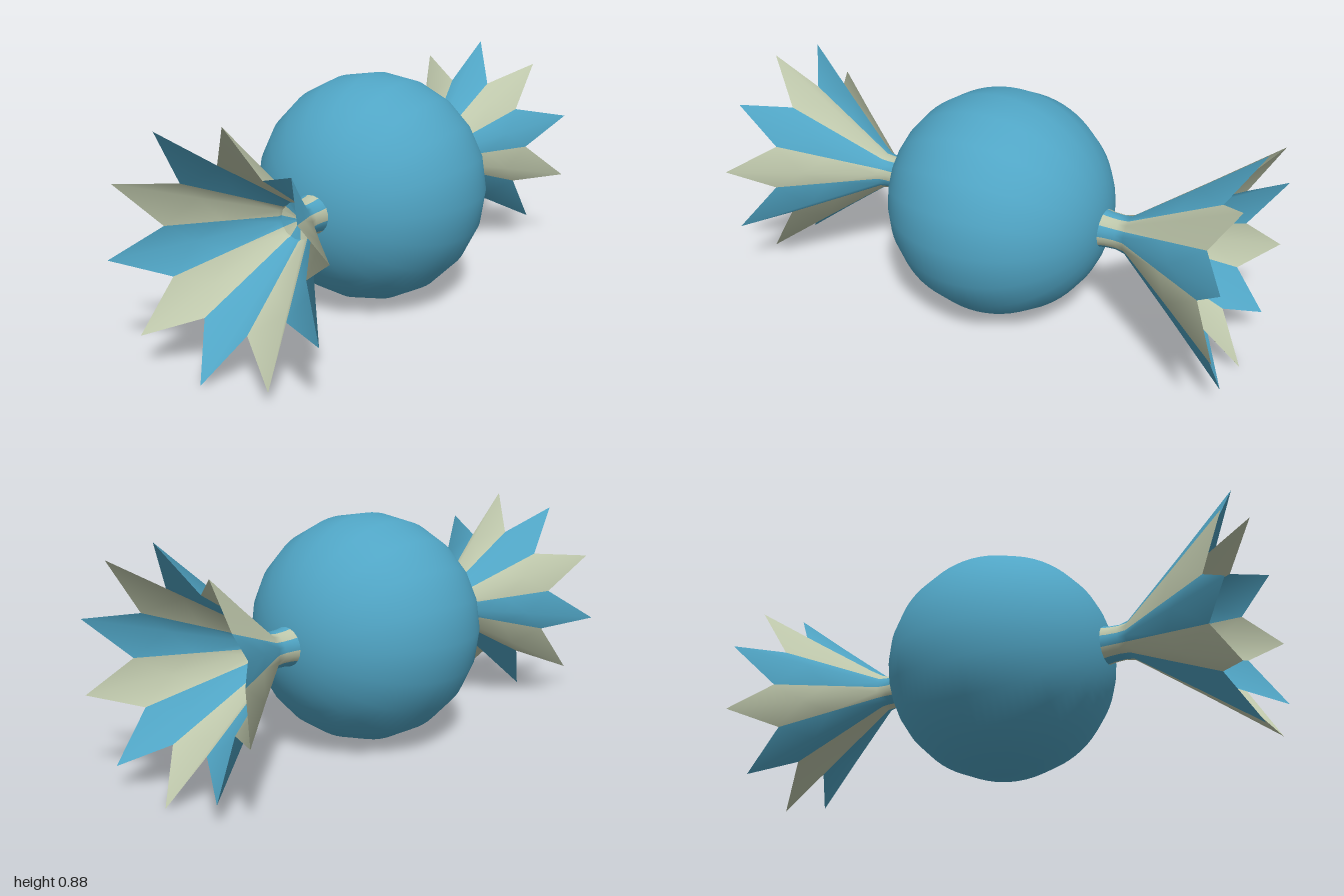
import * as THREE from 'three';

const blue = new THREE.MeshStandardMaterial({ color: 0x50a5c5, side: THREE.DoubleSide });
blue.name = 'wrapperBlue';
const cream = new THREE.MeshStandardMaterial({ color: 0xbec7ab, side: THREE.DoubleSide });
cream.name = 'wrapperCream';

const PLEATS = 10;
const CENTRE_Y = 0.445;

// Pleated surface around z; each row is [ridge z, ridge radius, valley z, valley radius].
// Every pleat runs from valley to valley and the pleats alternate in colour.
function pleatedGeometry(rows, startDegrees) {
  const columns = PLEATS * 2;
  const positions = [];
  const faces = [[], []];
  for (const [ridgeZ, ridgeR, valleyZ, valleyR] of rows) {
    for (let j = 0; j < columns; j++) {
      const angle = THREE.MathUtils.degToRad(startDegrees) + (j * Math.PI) / PLEATS;
      const r = j % 2 ? valleyR : ridgeR;
      positions.push(r * Math.cos(angle), r * Math.sin(angle), j % 2 ? valleyZ : ridgeZ);
    }
  }
  for (let i = 0; i < rows.length - 1; i++) {
    for (let j = 0; j < columns; j++) {
      const next = (j + 1) % columns;
      const a = i * columns + j, b = i * columns + next;
      const d = a + columns, c = b + columns;
      const pleat = Math.floor((j + 1) / 2) % PLEATS;
      // the diagonal always starts on the ridge, so both halves of a pleat mirror
      if (j % 2) faces[pleat % 2].push(a, b, d, b, c, d);
      else faces[pleat % 2].push(a, b, c, a, c, d);
    }
  }
  const geometry = new THREE.BufferGeometry();
  geometry.setAttribute('position', new THREE.Float32BufferAttribute(positions, 3));
  geometry.setIndex([...faces[0], ...faces[1]]);
  geometry.addGroup(0, faces[0].length, 0);
  geometry.addGroup(faces[0].length, faces[1].length, 1);
  geometry.computeVertexNormals();
  return geometry;
}

// Twisted wrapper end: narrow neck, flared star-shaped fan and closed throat
function wrapperEnd(name, startDegrees, materials) {
  const end = new THREE.Group();
  end.name = name;
  const fan = new THREE.Mesh(pleatedGeometry([
    [0.42, 0.075, 0.42, 0.075],
    [0.46, 0.068, 0.46, 0.068],
    [0.5, 0.066, 0.5, 0.066],
    [0.535, 0.074, 0.535, 0.07],
    [0.77, 0.257, 0.71, 0.175],
    [1, 0.44, 0.89, 0.282],
  ], startDegrees), materials);
  fan.name = name + 'Fan';
  const throat = new THREE.Mesh(pleatedGeometry([
    [0.52, 0.069, 0.52, 0.067],
    [0.5, 0, 0.5, 0],
  ], startDegrees), materials);
  throat.name = name + 'Throat';
  end.add(fan, throat);
  end.position.y = CENTRE_Y;
  return end;
}

export function createModel() {
  const model = new THREE.Group();
  model.name = 'wrappedSweet';

  // Round sweet with its poles facing the two wrapper ends
  const ball = new THREE.Mesh(new THREE.SphereGeometry(0.441, 20, 40), blue);
  ball.name = 'sweetBall';
  ball.rotation.x = Math.PI / 2;
  ball.position.y = CENTRE_Y;
  model.add(ball);

  const front = wrapperEnd('frontWrapper', 81.5, [cream, blue]);
  const back = wrapperEnd('backWrapper', 90, [blue, cream]);
  back.rotation.y = Math.PI;
  model.add(front, back);
  return model;
}
